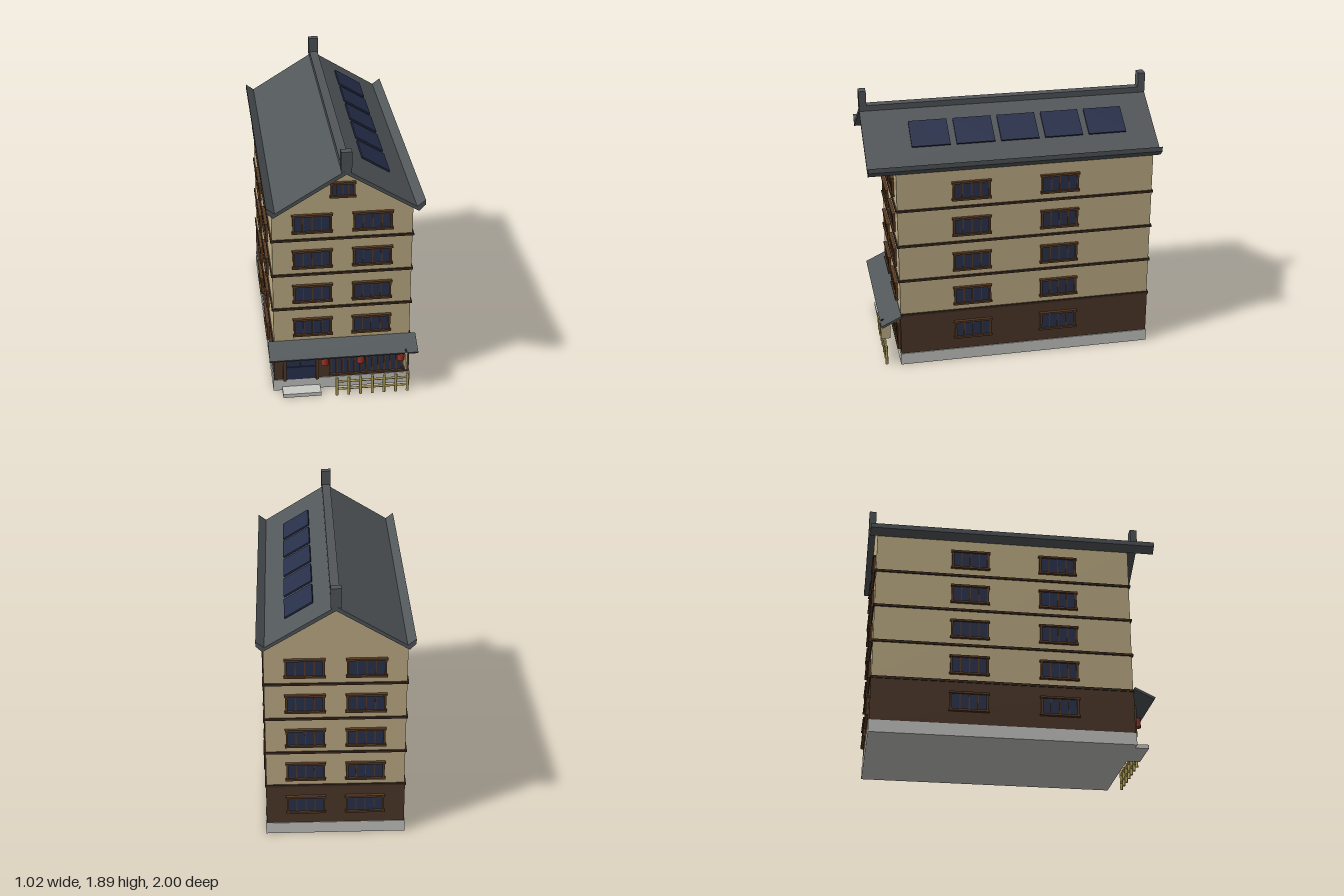
import * as THREE from 'three';

const mat = (name, color, side = THREE.FrontSide) => {
  const m = new THREE.MeshStandardMaterial({ color, side });
  m.name = name;
  return m;
};

export function createModel() {
  const plaster = mat('plaster', 0xc2b088);
  const darkWood = mat('dark wood', 0x4f392b);
  const trim = mat('trim', 0x3e2b20);
  const frameWood = mat('frame wood', 0x5a3c24);
  const glass = mat('glass', 0x2b3450);
  const slate = mat('slate', 0x52575a);
  const solar = mat('solar panel', 0x272f4a);
  const bamboo = mat('bamboo', 0xb5a35a);
  const red = mat('lantern red', 0xa03226);
  const stone = mat('stone', 0xcacac7);

  const model = new THREE.Group();
  model.name = 'townhouse';

  const add = (parent, name, geo, material) => {
    const m = new THREE.Mesh(geo, material);
    m.name = name;
    parent.add(m);
    return m;
  };
  // Box given by its extents along each axis
  const box = (parent, name, material, x0, x1, y0, y1, z0, z1) => {
    const m = add(parent, name, new THREE.BoxGeometry(x1 - x0, y1 - y0, z1 - z0), material);
    m.position.set((x0 + x1) / 2, (y0 + y1) / 2, (z0 + z1) / 2);
    return m;
  };
  // Profile in the xy plane, extruded from z0 to z1
  const prism = (name, material, pts, z0, z1) => {
    const shape = new THREE.Shape(pts.map(p => new THREE.Vector2(...p)));
    const geo = new THREE.ExtrudeGeometry(shape, { depth: z1 - z0, bevelEnabled: false });
    add(model, name, geo, material).position.z = z0;
  };

  const FRONT = 0.815, BACK = -0.95, SIDE = 0.465;

  // Walls
  box(model, 'foundation', stone, -0.475, 0.475, 0, 0.085, -0.957, 0.825);
  box(model, 'groundFloor', darkWood, -0.469, 0.469, 0.085, 0.39, -0.953, 0.819);
  prism('upperWalls', plaster,
    [[-SIDE, 0.39], [SIDE, 0.39], [SIDE, 1.46], [0, 1.743], [-SIDE, 1.46]], BACK, FRONT);
  for (const y of [0.39, 0.655, 0.918, 1.181]) {
    box(model, 'floorBand', trim, -0.475, 0.475, y - 0.008, y + 0.008, -0.959, 0.825);
  }

  // Roof with upturned eaves, ridge and end finials
  const half = [[0.455, 1.483], [0.51, 1.525], [0.51, 1.492], [0.468, 1.45]];
  prism('roof', slate, [[0, 1.765], ...half, [0, 1.735],
    ...half.map(([x, y]) => [-x, y]).reverse()], -1, 1);
  box(model, 'ridge', slate, -0.03, 0.03, 1.745, 1.786, -0.998, 0.998);
  for (const z of [-0.975, 0.975]) {
    box(model, 'ridgeFinial', slate, -0.035, 0.035, 1.758, 1.89, z - 0.025, z + 0.025);
  }

  // Solar panels floating just above the right slope
  const slope = Math.atan2(0.282, 0.455);
  for (let i = 0; i < 5; i++) {
    const p = add(model, 'solarPanel', new THREE.BoxGeometry(0.215, 0.011, 0.262), solar);
    p.position.set(0.233, 1.637, -0.662 + i * 0.304);
    p.rotation.z = -slope;
  }

  // Window facing +z with panes, mullions, head and sill
  const makeWindow = (w, h, panes) => {
    const g = new THREE.Group();
    g.name = 'window';
    box(g, 'windowGlass', glass, -w / 2, w / 2, -h / 2, h / 2, 0, 0.008);
    for (let i = 0; i <= panes; i++) {
      const x = -w / 2 + (w * i) / panes;
      const edge = i === 0 || i === panes;
      const t = edge ? 0.007 : 0.004;
      box(g, edge ? 'windowJamb' : 'mullion', frameWood, x - t, x + t, -h / 2, h / 2, 0, edge ? 0.017 : 0.014);
    }
    for (const s of [-1, 1]) {
      const y = s * (h / 2 + 0.004);
      box(g, s > 0 ? 'windowHead' : 'windowSill', frameWood,
        -w / 2 - 0.013, w / 2 + 0.013, y - 0.007, y + 0.007, 0, 0.022);
    }
    return g;
  };
  const place = (win, x, y, z, turn) => {
    win.position.set(x, y, z);
    win.rotation.y = turn;
    model.add(win);
  };
  for (let floor = 0; floor < 5; floor++) {
    const y = 0.242 + floor * 0.265;
    const out = floor === 0 ? 0.004 : 0;
    for (const s of [-1, 1]) {
      if (floor > 0) place(makeWindow(0.244, 0.115, 4), s * 0.2, y, FRONT, 0);
      place(makeWindow(0.244, 0.115, 4), s * 0.2, y, BACK - out, Math.PI);
      for (const z of [0.31, -0.3]) {
        place(makeWindow(0.244, 0.115, 4), s * (SIDE + out), y, z, s * Math.PI / 2);
      }
    }
  }
  place(makeWindow(0.145, 0.088, 4), 0, 1.54, FRONT, 0);

  // Entrance door
  const Z = 0.819;
  box(model, 'doorLeaf', glass, -0.387, -0.183, 0.085, 0.295, Z, Z + 0.008);
  for (const x of [-0.396, -0.172]) {
    box(model, 'doorPost', frameWood, x - 0.011, x + 0.011, 0.085, 0.31, Z, 0.845);
  }
  box(model, 'doorLintel', frameWood, -0.41, -0.16, 0.295, 0.312, Z, 0.845);
  box(model, 'doorRail', solar, -0.385, -0.185, 0.178, 0.19, Z, Z + 0.014);
  box(model, 'doorStile', solar, -0.289, -0.281, 0.19, 0.295, Z, Z + 0.014);

  // Shop front lattice
  box(model, 'shopGlass', glass, -0.08, 0.42, 0.11, 0.3, Z, Z + 0.008);
  for (let i = 0; i <= 12; i++) {
    const x = -0.08 + (0.5 * i) / 12;
    box(model, 'shopMullion', frameWood, x - 0.005, x + 0.005, 0.11, 0.3, Z, 0.835);
  }
  box(model, 'shopHead', frameWood, -0.09, 0.43, 0.297, 0.311, Z, 0.842);
  box(model, 'shopSill', frameWood, -0.09, 0.43, 0.1, 0.115, Z, 0.842);

  // Canopy over the shop front
  const canopy = add(model, 'canopy', new THREE.BoxGeometry(1.012, 0.016, 0.155), slate);
  canopy.position.set(0, 0.362, 0.884);
  canopy.rotation.x = Math.atan2(0.065, 0.135);

  // Lanterns under the canopy
  for (const x of [-0.127, 0.118, 0.393]) {
    const l = add(model, 'lantern', new THREE.CylinderGeometry(0.027, 0.027, 0.066, 8), red);
    l.position.set(x, 0.292, 0.915);
  }

  // Projecting sign board on a bracket
  box(model, 'signBracket', trim, 0.418, 0.43, 0.338, 0.35, 0.815, 0.95);
  box(model, 'signBoard', plaster, 0.416, 0.432, 0.197, 0.338, 0.888, 0.955);

  // Door step and bamboo fence
  box(model, 'doorStep', stone, -0.415, -0.153, 0, 0.028, 0.82, 0.918);
  for (let i = 0; i < 7; i++) {
    const post = add(model, 'fencePost', new THREE.CylinderGeometry(0.01, 0.01, 0.143, 8), bamboo);
    post.position.set(-0.045 + i * 0.0815, 0.0715, 0.922);
  }
  for (const y of [0.05, 0.11]) {
    const rail = add(model, 'fenceRail', new THREE.CylinderGeometry(0.008, 0.008, 0.51, 8), bamboo);
    rail.position.set(0.2, y, 0.922);
    rail.rotation.z = Math.PI / 2;
  }

  return model;
}
